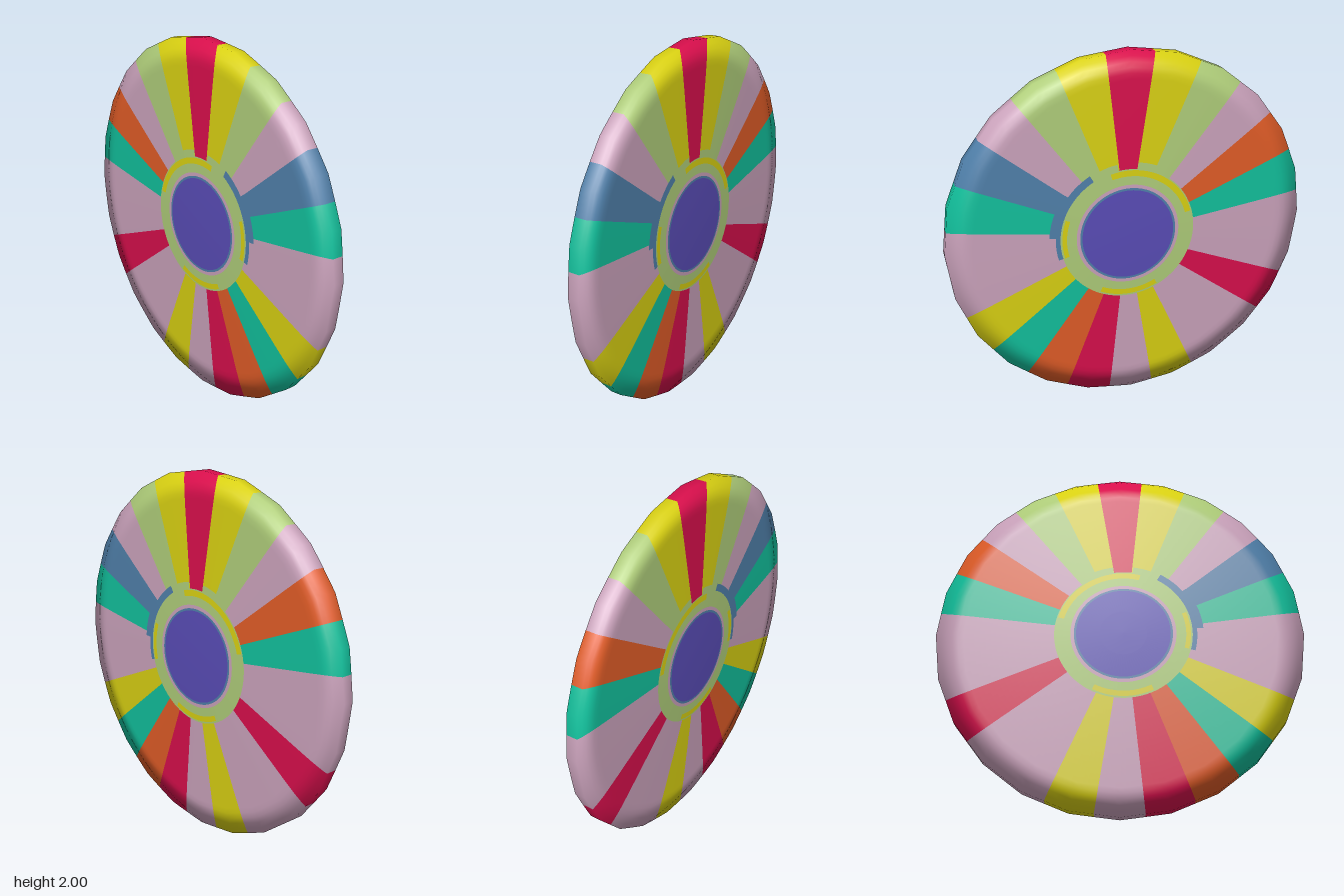
import * as THREE from 'three';

const mat = (name, color) => {
  const m = new THREE.MeshStandardMaterial({ color });
  m.name = name;
  return m;
};
const DEG = Math.PI / 180;
const HUB_X = 0.02; // the hub pattern sits slightly off the disc centre

// Half thickness of the lens-like disc, as [radius, z]
const PROFILE = [[0, 0.055], [0.3, 0.053], [0.5, 0.05], [0.8, 0.045], [0.9, 0.042], [0.96, 0.037], [1.01, 0.028]];
function halfThickness(r) {
  let i = 1;
  while (i < PROFILE.length - 1 && r > PROFILE[i][0]) i++;
  const [r0, z0] = PROFILE[i - 1], [r1, z1] = PROFILE[i];
  return z0 + (z1 - z0) * (r - r0) / (r1 - r0);
}

// Point on a circle around the hub
const hubPoint = (r) => (a) => [HUB_X + r * Math.cos(a * DEG), r * Math.sin(a * DEG)];

// Point on the 24-sided rim, with corners at every 15 degrees
function rimPoint(a) {
  const local = ((a % 15) + 15) % 15 - 7.5;
  const r = Math.cos(7.5 * DEG) / Math.cos(local * DEG);
  return [r * Math.cos(a * DEG), r * Math.sin(a * DEG)];
}

// Curved patch on both faces of the disc, between two outlines and two angles
function patch(inner, outer, a0, a1, { lift = 0, rows = 2, cols = 16, rim = false } = {}) {
  const pos = [], nor = [], idx = [];
  const stride = rows + 1, side = (cols + 1) * stride;
  for (const s of [1, -1]) {
    for (let i = 0; i <= cols; i++) {
      const a = a0 + (a1 - a0) * i / cols;
      const p = inner(a), q = outer(a);
      for (let j = 0; j <= rows; j++) {
        const t = j / rows;
        const x = p[0] + (q[0] - p[0]) * t, y = p[1] + (q[1] - p[1]) * t;
        const r = Math.hypot(x, y);
        const tilt = (0.03 + 1.15 * THREE.MathUtils.smoothstep(r, 0.85, 1)) * Math.min(1, r * 4);
        const k = Math.sin(tilt) / Math.max(r, 1e-6);
        pos.push(x, y + 1, s * (halfThickness(r) + lift));
        nor.push(x * k, y * k, s * Math.cos(tilt));
      }
    }
  }
  for (let i = 0; i < cols; i++) {
    for (let j = 0; j < rows; j++) {
      const a = i * stride + j, b = a + 1, c = b + stride, d = a + stride;
      idx.push(a, b, c, a, c, d);
      idx.push(side + a, side + c, side + b, side + a, side + d, side + c);
    }
    if (rim) { // narrow edge joining front and back
      const f0 = i * stride + rows, f1 = f0 + stride;
      idx.push(f0, side + f0, side + f1, f0, side + f1, f1);
    }
  }
  const g = new THREE.BufferGeometry();
  g.setAttribute('position', new THREE.Float32BufferAttribute(pos, 3));
  g.setAttribute('normal', new THREE.Float32BufferAttribute(nor, 3));
  g.setIndex(idx);
  return g;
}

export function createModel() {
  const group = new THREE.Group();
  group.name = 'colourWheel';
  const pink = mat('pink', 0xcaa2bb), red = mat('red', 0xd80f4c), yellow = mat('yellow', 0xd8d012);
  const green = mat('green', 0xaecc79), orange = mat('orange', 0xe05c27), teal = mat('teal', 0x12c09c);
  const steel = mat('steelBlue', 0x4f7fa9), violet = mat('violet', 0x594cb6);

  const add = (name, geometry, material) => {
    const m = new THREE.Mesh(geometry, material);
    m.name = name;
    group.add(m);
  };
  const arc = (name, material, r0, r1, a0, a1, lift) =>
    add(name, patch(hubPoint(r0), hubPoint(r1), a0, a1,
      { lift, cols: Math.max(4, Math.ceil((a1 - a0) / 4)) }), material);

  // 24 sectors, clockwise from the top
  const sectors = [
    red, yellow, green, pink, steel, teal, pink, pink, yellow, teal, orange, red,
    pink, yellow, pink, pink, red, pink, pink, teal, orange, pink, green, yellow,
  ];
  sectors.forEach((material, k) => {
    const mid = 90 - 15 * k;
    add('sector' + (k + 1), patch(hubPoint(0.3), rimPoint, mid - 7.5, mid + 7.5,
      { rows: 24, cols: 8, rim: true }), material);
  });

  // Fringes where the sectors meet the hub
  arc('upperFringe', green, 0.36, 0.41, 60, 82, 0.0008);
  arc('upperFringe', green, 0.36, 0.41, 98, 115, 0.0008);
  arc('sideFringe', steel, 0.36, 0.435, 4, 38, 0.0008);
  arc('sideFringe', steel, 0.36, 0.40, -15, 4, 0.0008);
  arc('sideFringe', steel, 0.36, 0.415, 38, 60, 0.0008);

  // Hub rings, each layer just above the last
  arc('hubRing', green, 0.28, 0.375, 0, 360, 0.0016);
  arc('hubRingStripe', yellow, 0.335, 0.368, 75, 165, 0.0024);
  arc('hubRingStripe', yellow, 0.34, 0.365, -15, 20, 0.0024);
  arc('hubRingStripe', yellow, 0.335, 0.365, -117, -64, 0.0024);
  arc('innerRing', pink, 0.255, 0.287, 0, 360, 0.0024);
  arc('hubOutline', steel, 0.245, 0.268, 0, 360, 0.0032);
  arc('hubCentre', violet, 0, 0.256, 0, 360, 0.004);
  return group;
}
